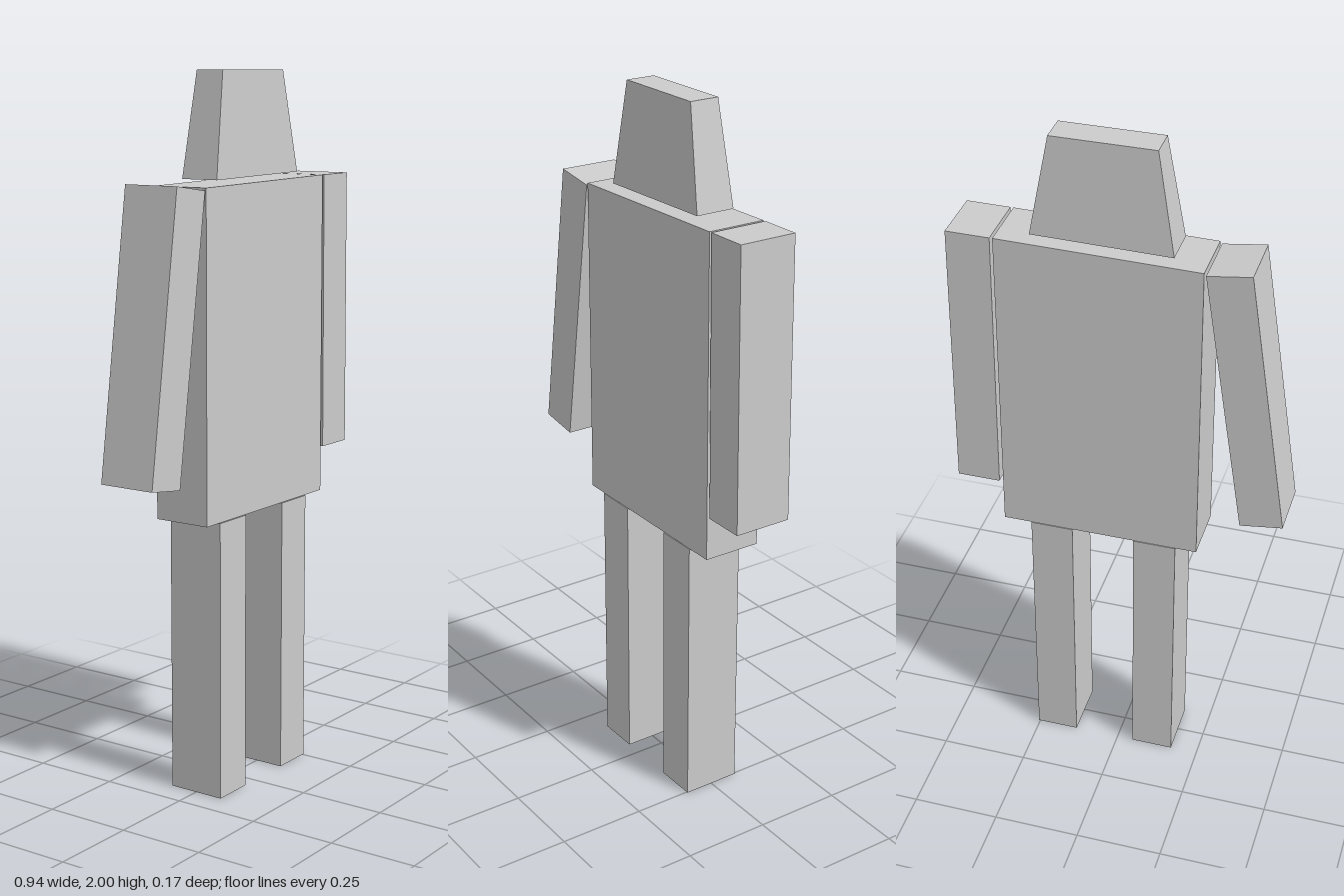
import * as THREE from 'three';

const material = new THREE.MeshStandardMaterial({ color: 0xcccccc, flatShading: true });

// A box whose four front corners [x, y] are set by hand; depth may taper from bottom to top.
function block(name, { bottomLeft, bottomRight, topLeft, topRight, bottomDepth = 0.168, topDepth = bottomDepth }) {
  const geometry = new THREE.BoxGeometry(1, 1, 1);
  const p = geometry.attributes.position;
  for (let i = 0; i < p.count; i++) {
    const top = p.getY(i) > 0;
    const plusX = p.getX(i) > 0;
    const [x, y] = top ? (plusX ? topLeft : topRight) : (plusX ? bottomLeft : bottomRight);
    p.setXYZ(i, x, y, p.getZ(i) * (top ? topDepth : bottomDepth));
  }
  geometry.computeVertexNormals();
  const mesh = new THREE.Mesh(geometry, material);
  mesh.name = name;
  return mesh;
}

export function createModel() {
  const model = new THREE.Group();
  model.name = 'blockFigure';

  // Legs
  for (const [name, x] of [['leftLeg', 0.193], ['rightLeg', -0.109]]) {
    const w = 0.061;
    model.add(block(name, {
      bottomLeft: [x + w, 0], bottomRight: [x - w, 0],
      topLeft: [x + w, 0.79], topRight: [x - w, 0.79],
    }));
  }

  // Torso, its top edge slightly sloped
  model.add(block('torso', {
    bottomLeft: [0.334, 0.792], bottomRight: [-0.231, 0.792],
    topLeft: [0.331, 1.708], topRight: [-0.231, 1.698],
  }));

  // Arms: the left hangs straight, the right swings outward
  model.add(block('leftArm', {
    bottomLeft: [0.467, 0.92], bottomRight: [0.345, 0.92],
    topLeft: [0.461, 1.709], topRight: [0.339, 1.708],
  }));
  model.add(block('rightArm', {
    bottomLeft: [-0.351, 0.915], bottomRight: [-0.471, 0.932],
    topLeft: [-0.236, 1.691], topRight: [-0.357, 1.708],
  }));

  // Tapered head
  model.add(block('head', {
    bottomLeft: [0.24, 1.72], bottomRight: [-0.146, 1.713],
    topLeft: [0.188, 2], topRight: [-0.098, 2],
    bottomDepth: 0.114, topDepth: 0.085,
  }));

  return model;
}
